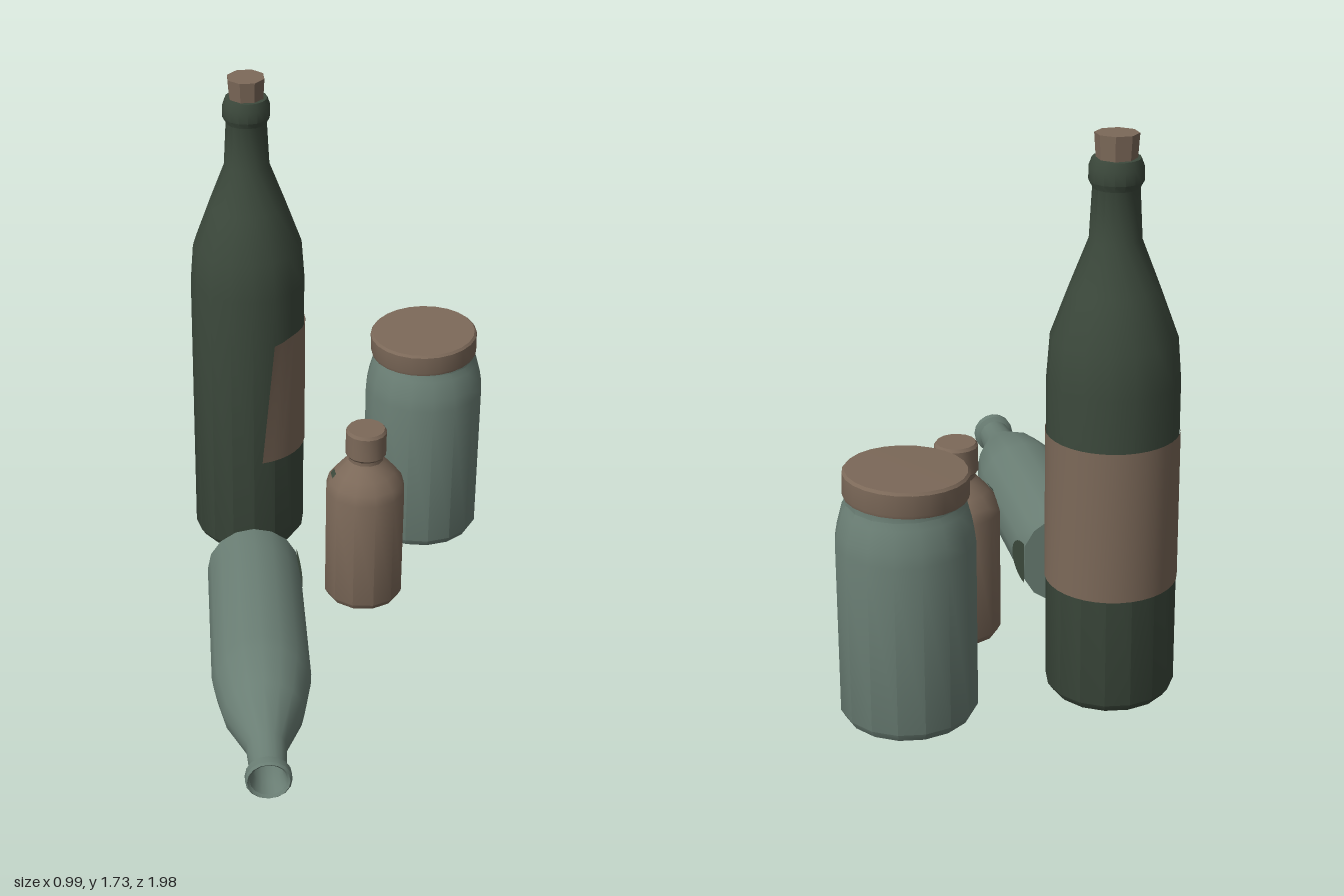
import * as THREE from 'three';
import { toCreasedNormals } from 'three/addons/utils/BufferGeometryUtils.js';

const paint = (name, color, side = THREE.FrontSide) => {
  const m = new THREE.MeshStandardMaterial({ color, side });
  m.name = name;
  return m;
};

// Revolved [radius, height] profile with sharp rims and smooth sides
function turned(points, sides) {
  return new THREE.LatheGeometry(points.map(([r, y]) => new THREE.Vector2(r, y)), sides);
}

function part(name, geometry, material, crease = 0.6) {
  const mesh = new THREE.Mesh(crease ? toCreasedNormals(geometry, crease) : geometry, material);
  mesh.name = name;
  return mesh;
}

function place(name, x, y, z, ...children) {
  const g = new THREE.Group();
  g.name = name;
  g.position.set(x, y, z);
  g.add(...children);
  return g;
}

// Paper label wrapped round the bottle, its front end peeling away
function labelGeometry() {
  const cols = 24, rad = Math.PI / 180, end = 272;
  const geo = new THREE.PlaneGeometry(1, 1, cols, 1);
  const p = geo.attributes.position;
  for (let i = 0; i < p.count; i++) {
    const t = p.getX(i) + 0.5, top = p.getY(i) > 0;
    const start = top ? 41 : 31;
    const a = (start + (end - start) * t) * rad;
    const r = 0.198 + (top ? 0.028 : 0.002) * Math.max(0, 1 - t * 10);
    p.setXYZ(i, r * Math.sin(a), top ? 0.84 : 0.37, r * Math.cos(a));
  }
  geo.computeVertexNormals();
  return geo;
}

export function createModel() {
  const dark = paint('darkGreenGlass', 0x3c493c);
  const darkThin = paint('darkGreenPatch', 0x3c493c, THREE.DoubleSide);
  const glass = paint('paleGreenGlass', 0x6a7e74);
  const brown = paint('brown', 0x7c6959);
  const paper = paint('brownPaper', 0x7c6959, THREE.DoubleSide);
  const model = new THREE.Group();
  model.name = 'bottlesAndJar';

  // Tall corked bottle
  const tall = part('tallBottle', turned([
    [0, 0], [0.178, 0], [0.195, 0.025], [0.195, 1.0], [0.185, 1.13], [0.13, 1.28], [0.076, 1.42],
    [0.068, 1.57], [0.079, 1.59], [0.079, 1.63], [0.07, 1.655], [0, 1.655],
  ], 16), dark);
  const cork = part('cork', new THREE.CylinderGeometry(0.064, 0.057, 0.1, 8), brown);
  cork.position.y = 1.675;
  cork.rotation.x = 0.03;
  model.add(place('corkedBottle', -0.3, 0, -0.58,
    tall, cork, part('label', labelGeometry(), paper, 0)));

  // Wide jar with a slightly crooked lid
  const jar = part('jarBody', turned([
    [0, 0], [0.193, 0], [0.207, 0.025], [0.207, 0.56], [0.2, 0.6], [0.183, 0.665], [0.172, 0.685],
    [0.172, 0.715], [0, 0.715],
  ], 16), glass);
  const lid = part('jarLid', turned([
    [0, -0.04], [0.182, -0.04], [0.185, -0.03], [0.185, 0.03], [0.178, 0.038], [0, 0.04],
  ], 24), brown);
  lid.position.set(-0.005, 0.738, 0.005);
  lid.rotation.set(0.03, 0, 0.03);
  model.add(place('jar', 0.283, 0, -0.793, jar, lid));

  // Small capped bottle
  const small = part('smallBottle', turned([
    [0, 0], [0.125, 0], [0.136, 0.02], [0.136, 0.42], [0.126, 0.455], [0.1, 0.49], [0.068, 0.525],
    [0.06, 0.535], [0.06, 0.56], [0, 0.56],
  ], 12), brown);
  const cap = part('smallCap', turned([
    [0, 0.55], [0.063, 0.55], [0.069, 0.558], [0.069, 0.64], [0.062, 0.65], [0, 0.65],
  ], 16), brown);
  const medicine = place('smallCappedBottle', 0.203, 0, -0.29, small, cap);
  // Dark flecks on the shoulder
  for (const [start, length] of [[2.75, 0.8], [4.95, 0.35]]) {
    const points = [[0.116, 0.474], [0.104, 0.49]].map(([r, y]) => new THREE.Vector2(r, y));
    medicine.add(part('shoulderFleck', new THREE.LatheGeometry(points, 6, start, length), darkThin, 0));
  }
  model.add(medicine);

  // Open bottle lying on its side, with one chipped corner at the base
  const lyingGeo = turned([
    [0, 0], [0.157, 0], [0.157, 0.1], [0.157, 0.6], [0.152, 0.65], [0.125, 0.79], [0.062, 0.95],
    [0.055, 1.06], [0.07, 1.07], [0.07, 1.095], [0.064, 1.102], [0.056, 1.095], [0.047, 1.05],
    [0.05, 0.95], [0.1, 0.79], [0.14, 0.62], [0.14, 0.03], [0, 0.03],
  ], 16);
  const p = lyingGeo.attributes.position;
  for (let i = 0; i < p.count; i++) p.setX(i, Math.min(p.getX(i), 0.142 + 0.15 * p.getY(i)));
  const chip = new THREE.CircleGeometry(1, 16, 0, Math.PI);
  chip.scale(0.07, 0.1, 1).rotateY(Math.PI / 2).rotateZ(-0.149).translate(0.145, 0, 0);
  const lying = place('lyingBottle', -0.128, 0.16, -0.082,
    part('lyingBottleBody', lyingGeo, glass), part('baseChip', chip, darkThin, 0));
  lying.rotation.set(Math.PI / 2, 0.343, 0, 'YXZ');
  model.add(lying);

  return model;
}
